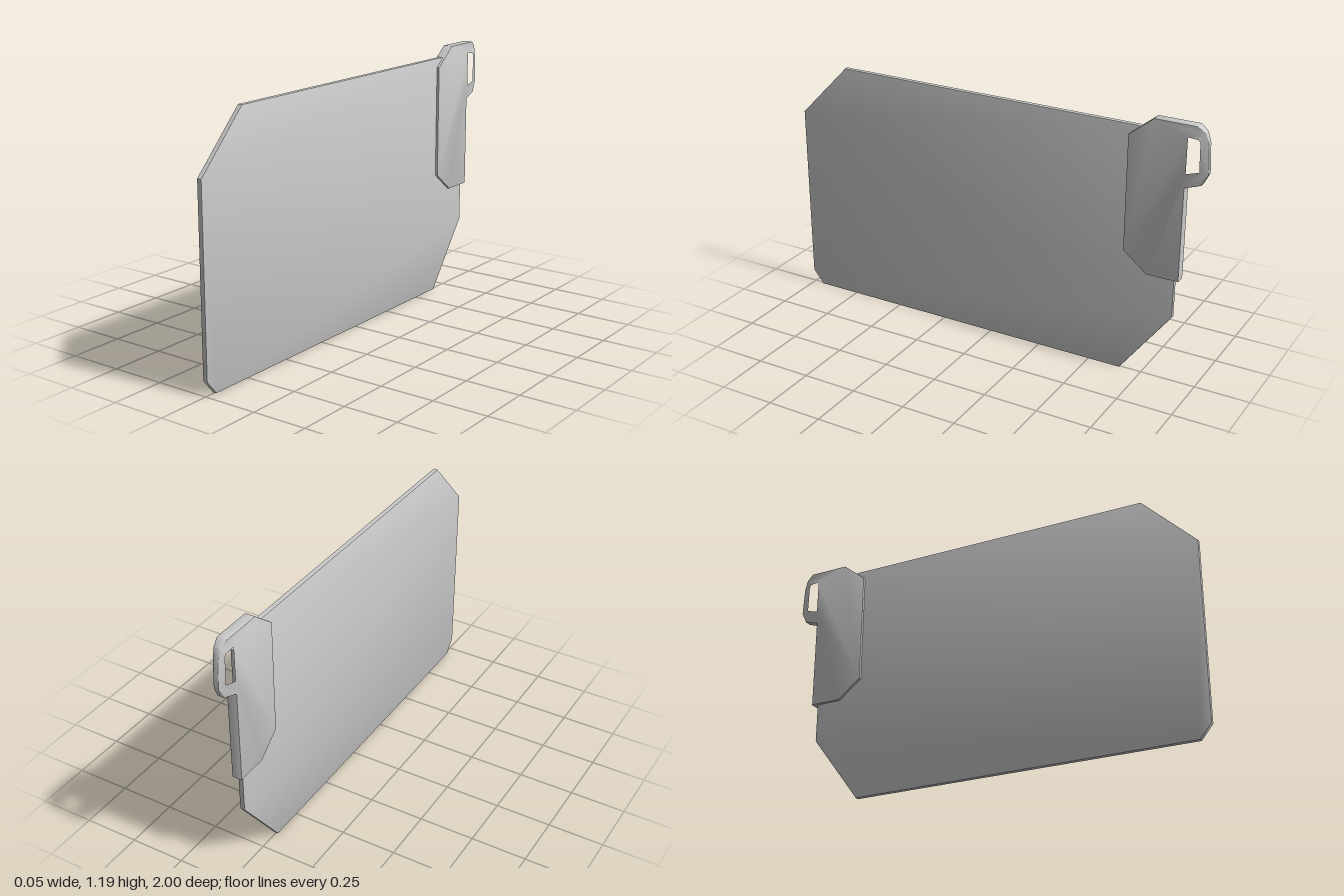
import * as THREE from 'three';
import { toCreasedNormals } from 'three/addons/utils/BufferGeometryUtils.js';

const material = new THREE.MeshStandardMaterial({ color: 0xcccccc });

// Outline points are [z, y]; the slab is centred on x = 0.
function slab(name, outline, holes, halfWidth, bevel, shapeX) {
  const toPoints = (list) => list.map(([z, y]) => new THREE.Vector2(-z, y));
  const shape = new THREE.Shape(toPoints(outline));
  shape.holes = holes.map((h) => new THREE.Path(toPoints(h)));
  const geometry = new THREE.ExtrudeGeometry(shape, {
    depth: 2 * (halfWidth - bevel),
    bevelEnabled: true,
    bevelThickness: bevel,
    bevelSize: bevel,
    bevelOffset: -bevel,
    bevelSegments: 2,
  });
  geometry.translate(0, 0, bevel - halfWidth);
  geometry.rotateY(Math.PI / 2);
  if (shapeX) {
    const p = geometry.attributes.position;
    for (let i = 0; i < p.count; i++) p.setX(i, p.getX(i) * shapeX(p.getZ(i)));
  }
  const mesh = new THREE.Mesh(toCreasedNormals(geometry, 0.7), material);
  mesh.name = name;
  return mesh;
}

export function createModel() {
  const model = new THREE.Group();
  model.name = 'plateWithClip';

  // Thin plate with clipped corners
  model.add(slab('plate', [
    [1, 0.064], [1, 0.893], [0.754, 1.143], [-0.69, 1.143],
    [-0.882, 1.1], [-0.882, 0.31], [-0.65, 0], [0.947, 0],
  ], [], 0.0115, 0.004));

  // Sleeve gripping the rear edge, with a hanging loop that thins toward its end
  const thin = (z) => 1 - 0.5 * THREE.MathUtils.smoothstep(-z, 0.94, 1.0);
  model.add(slab('sleeveWithLoop', [
    [-0.65, 0.578], [-0.65, 1.1], [-0.76, 1.189], [-0.945, 1.189],
    [-0.978, 1.165], [-0.993, 1.12], [-1, 0.99], [-0.973, 0.938],
    [-0.905, 0.915], [-0.905, 0.49], [-0.76, 0.49],
  ], [[
    [-0.905, 1.14], [-0.955, 1.135], [-0.963, 1.12], [-0.966, 0.992], [-0.905, 0.975],
  ]], 0.0235, 0.003, thin));

  return model;
}
